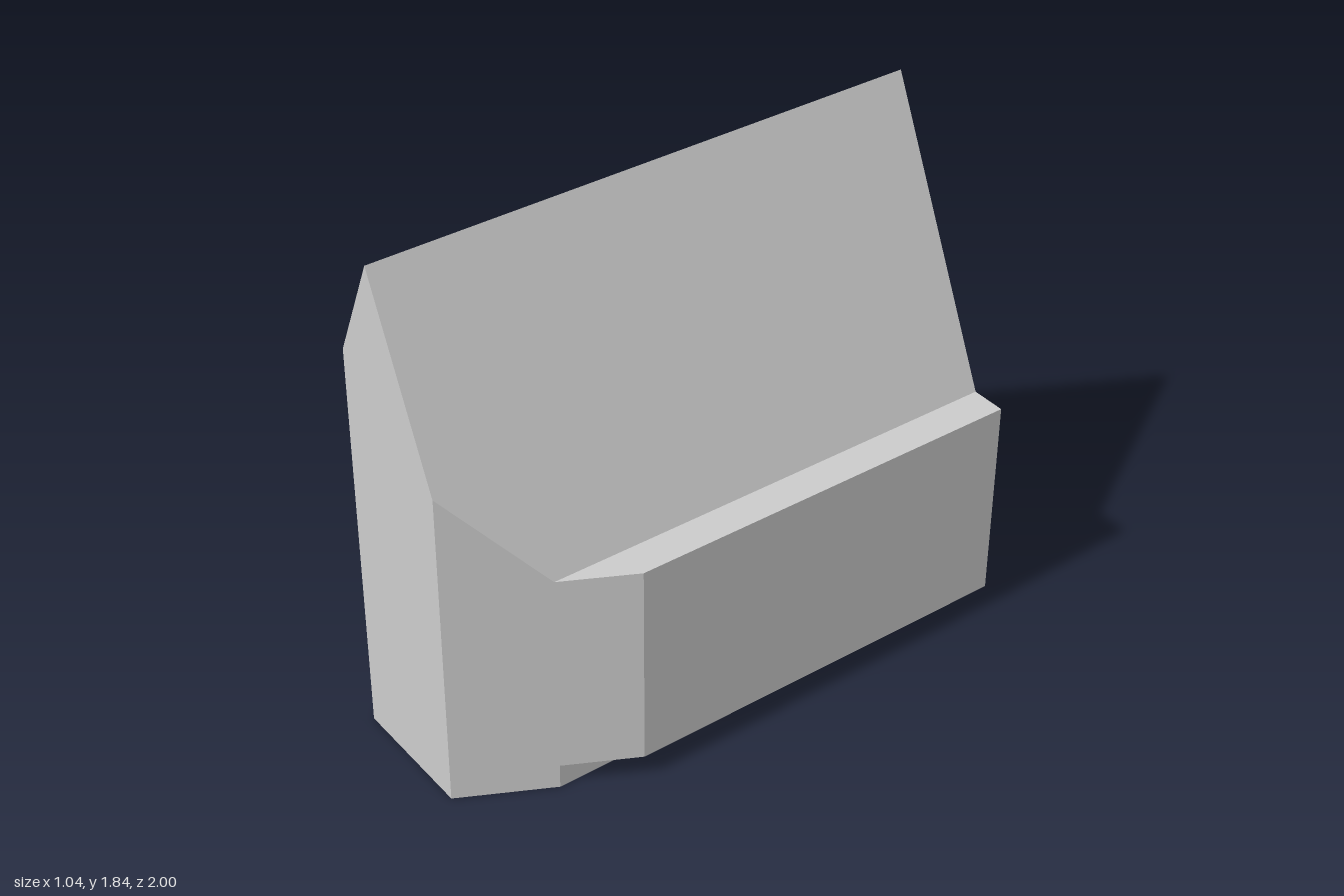
import * as THREE from 'three';

// Cross-sections from right to left: [x, bottom y, top y]
const SECTIONS = [
  [-0.52, 0, 0.835],
  [-0.235, 0, 1.46],
  [-0.065, 0, 1.835], // ridge
  [0.235, 0, 1.183],
  [0.395, 0, 0.835], // eave
  [0.395, 0.09, 0.835], // step under the side ledge
  [0.52, 0.09, 0.835],
];
const BACK = -1;

// Front end of the body at x: flat in the middle, chamfered at the sides
const frontZ = (x) => 1 - Math.max(0, Math.abs(x) - 0.235) * (0.55 / 0.285);

function houseGeometry() {
  const pos = [];
  const tri = (a, b, c) => {
    const t = new THREE.Triangle(a, b, c);
    if (t.getArea() > 1e-6) for (const p of [a, b, c]) pos.push(p.x, p.y, p.z);
  };
  const quad = (a, b, c, d) => {
    tri(a, b, c);
    tri(a, c, d);
  };
  const rings = SECTIONS.map(([x, lo, hi]) => ({
    fb: new THREE.Vector3(x, lo, frontZ(x)),
    ft: new THREE.Vector3(x, hi, frontZ(x)),
    bb: new THREE.Vector3(x, lo, BACK),
    bt: new THREE.Vector3(x, hi, BACK),
  }));
  // Front, back, roof and underside between neighbouring sections
  for (let i = 0; i < rings.length - 1; i++) {
    const l = rings[i], r = rings[i + 1];
    quad(l.fb, r.fb, r.ft, l.ft);
    quad(r.bb, l.bb, l.bt, r.bt);
    quad(l.ft, r.ft, r.bt, l.bt);
    quad(l.bb, r.bb, r.fb, l.fb);
  }
  // Side walls
  const first = rings[0], last = rings[rings.length - 1];
  quad(first.bb, first.fb, first.ft, first.bt);
  quad(last.fb, last.bb, last.bt, last.ft);

  const g = new THREE.BufferGeometry();
  g.setAttribute('position', new THREE.Float32BufferAttribute(pos, 3));
  g.computeVertexNormals();
  return g;
}

export function createModel() {
  const grey = new THREE.MeshStandardMaterial({ color: 0xcccccc });
  grey.name = 'light grey';

  const house = new THREE.Mesh(houseGeometry(), grey);
  house.name = 'gabledHouseBody';

  const model = new THREE.Group();
  model.name = 'gabledHouse';
  model.add(house);
  return model;
}
